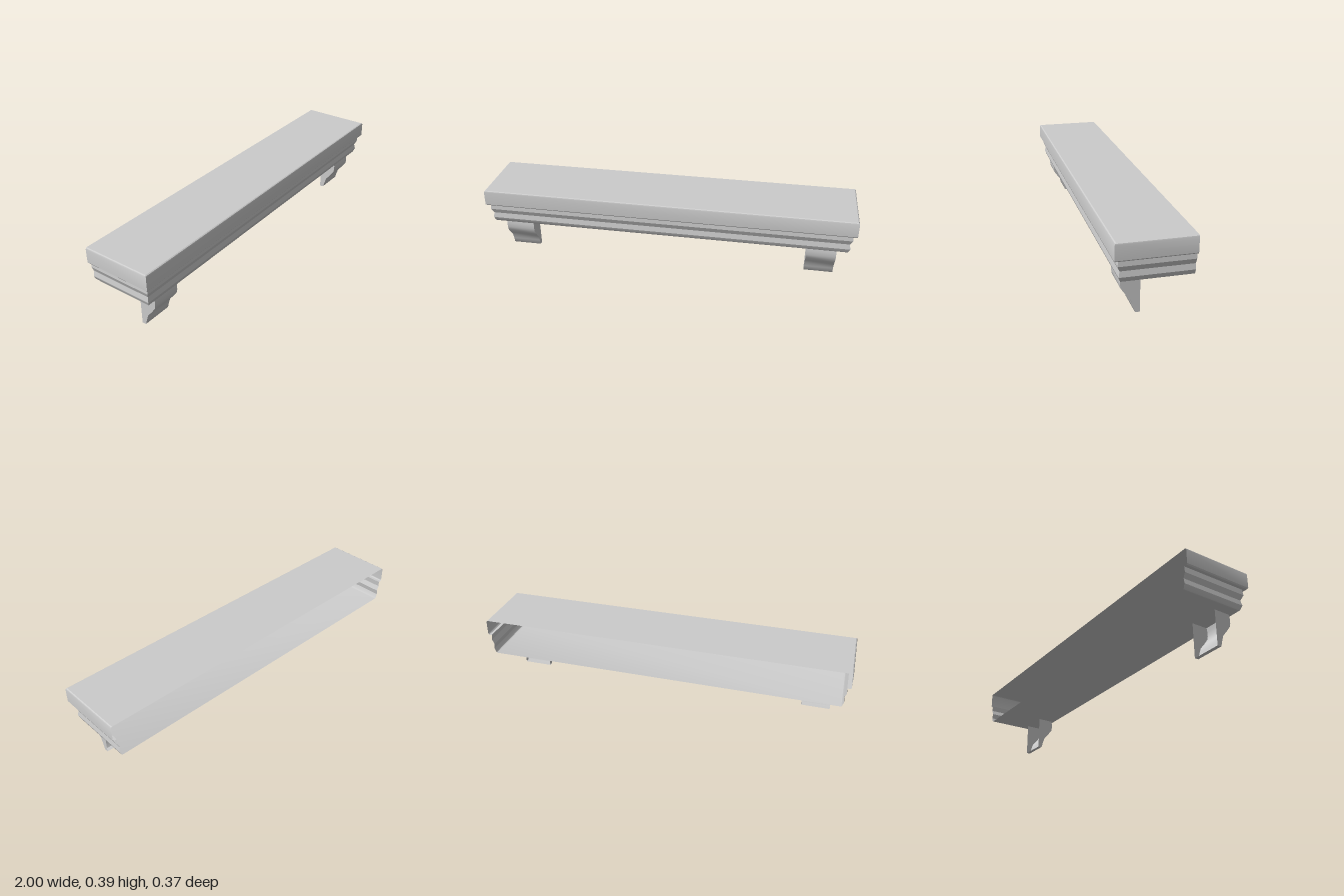
import * as THREE from 'three';
import { toCreasedNormals } from 'three/addons/utils/BufferGeometryUtils.js';

// Open-backed shell: each level is a U-shaped section (left, front, right), listed top to bottom.
function openBackShell(levels, zBack, crease, closeTop) {
  const pos = [];
  const idx = [];
  for (const { halfWidth: w, z, y } of levels) {
    pos.push(-w, y, zBack, -w, y, z, w, y, z, w, y, zBack);
  }
  const quad = (a, b, c, d) => idx.push(a, b, c, a, c, d);
  for (let i = 0; i < levels.length - 1; i++) {
    for (let j = 0; j < 3; j++) {
      const a = i * 4 + j;
      quad(a, a + 4, a + 5, a + 1);
    }
  }
  if (closeTop) quad(1, 2, 3, 0);
  const n = (levels.length - 1) * 4;
  quad(n, n + 3, n + 2, n + 1);
  const geometry = new THREE.BufferGeometry();
  geometry.setAttribute('position', new THREE.Float32BufferAttribute(pos, 3));
  geometry.setIndex(idx);
  return toCreasedNormals(geometry, crease);
}

export function createModel() {
  const group = new THREE.Group();
  const material = new THREE.MeshStandardMaterial({ color: 0xcccccc, side: THREE.DoubleSide });
  const add = (name, geometry, x = 0) => {
    const mesh = new THREE.Mesh(geometry, material);
    mesh.name = name;
    mesh.position.x = x;
    group.add(mesh);
  };

  // Shelf slab and mitred moulding: [front z, y] from top to bottom
  const depth = 0.187;
  const moulding = [
    [0.18, 0.388], [0.185, 0.385], [0.187, 0.379], [0.187, 0.306], [0.182, 0.3],
    [0.166, 0.3], [0.169, 0.269], [0.157, 0.242], [0.162, 0.214],
    [0.154, 0.193], [0.151, 0.189], [0.145, 0.187],
  ].map(([z, y]) => ({ halfWidth: 1 - (depth - z), z, y }));
  add('mantelShelf', openBackShell(moulding, -depth, 0.45, true));

  // Curved support brackets, hollow at the back
  const bracket = [
    [0.134, 0.187], [0.138, 0.166], [0.138, 0.144], [0.1345, 0.125], [0.11, 0.091],
    [0.0865, 0.063], [0.076, 0.032], [0.0685, 0.003], [0.066, 0],
  ].map(([z, y]) => ({ halfWidth: 0.078, z, y }));
  const bracketGeometry = openBackShell(bracket, 0.045, 0.6, false);
  add('leftBracket', bracketGeometry, 0.833);
  add('rightBracket', bracketGeometry, -0.833);

  return group;
}
